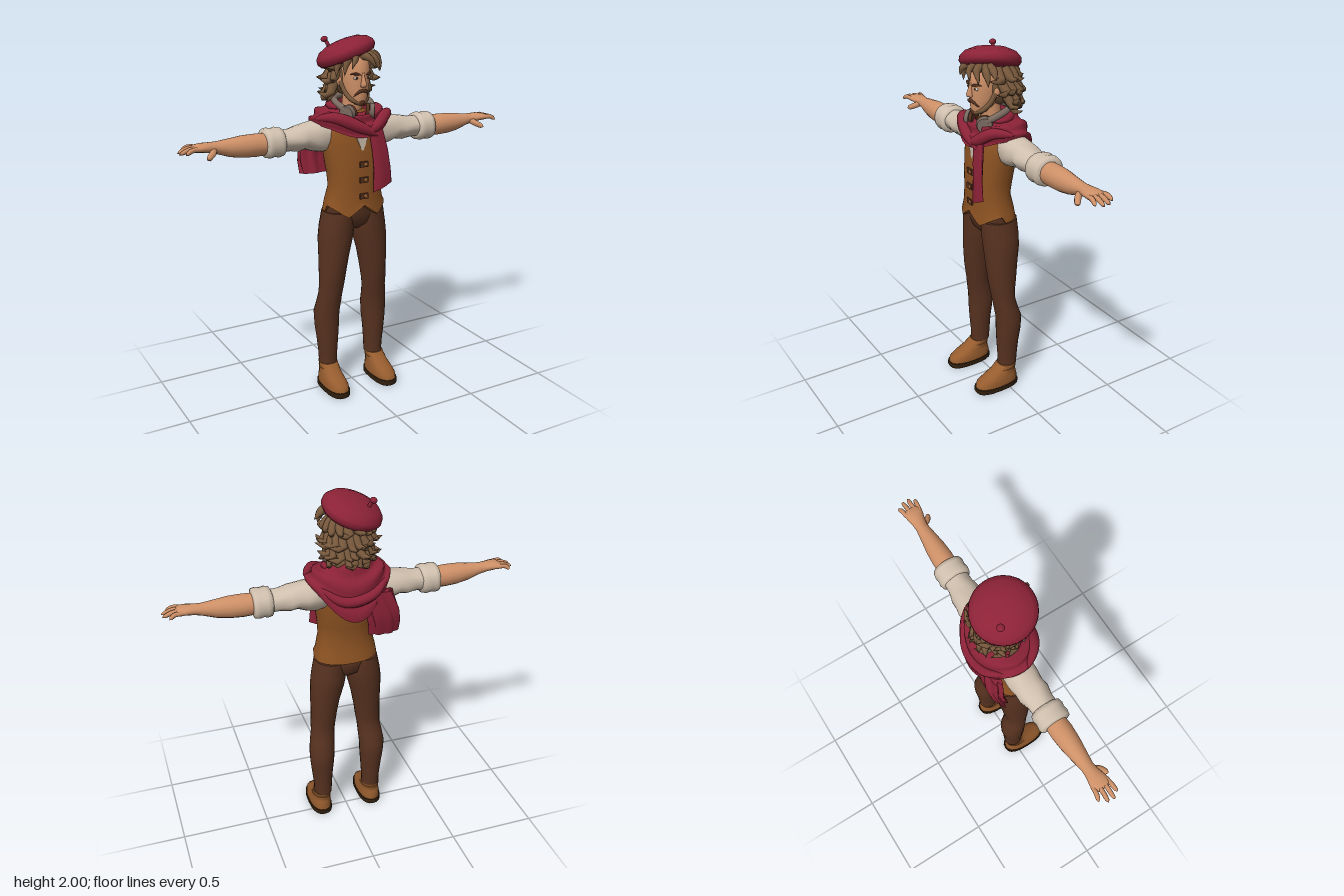
import * as THREE from 'three';

const mat = (name, color, side = THREE.FrontSide) => {
  const m = new THREE.MeshStandardMaterial({ color, side });
  m.name = name;
  return m;
};
const M = {
  skin: mat('skin', 0xcf9168), hair: mat('hair', 0x77583c),
  red: mat('crimson cloth', 0x8c2237, THREE.DoubleSide),
  vest: mat('tan leather', 0x8c5222), trousers: mat('dark brown', 0x573220),
  shirt: mat('cream linen', 0xd0c0ae), shoe: mat('shoe leather', 0x965c2e),
  dark: mat('sole', 0x33210f), metal: mat('headphone grey', 0x7a6a60), white: mat('eye white', 0xeee6dc),
};

// Skin over elliptical sections [h, centreA, centreB, radiusA, radiusB].
// Axis y: A is x and B is z. Axis x: A is y and B is z.
function loft(axis, sections, { n = 20, waves = 0, amp = 0, pow = 1 } = {}) {
  const pos = [], idx = [];
  const bend = (u) => Math.sign(u) * Math.abs(u) ** pow;
  const put = (h, a, b) => pos.push(...(axis === 'y' ? [a, h, b] : [h, a, b]));
  const ring = ([h, a, b, ra, rb], i) => {
    for (let j = 0; j < n; j++) {
      const t = (j / n) * Math.PI * 2, k = 1 + amp * Math.cos(waves * t + i);
      const s = bend(Math.sin(t)) * k, c = bend(Math.cos(t)) * k;
      if (axis === 'y') put(h, a + ra * s, b + rb * c);
      else put(h, a + ra * c, b + rb * s);
    }
  };
  sections.forEach(ring);
  for (let i = 0; i < sections.length - 1; i++)
    for (let j = 0; j < n; j++) {
      const a = i * n + j, b = i * n + (j + 1) % n;
      idx.push(a, b, a + n, b, b + n, a + n);
    }
  for (const i of [0, sections.length - 1]) {
    const start = pos.length / 3;
    ring(sections[i], i);
    put(...sections[i].slice(0, 3));
    for (let j = 0; j < n; j++) {
      const a = start + j, b = start + (j + 1) % n;
      idx.push(...(i ? [a, b, start + n] : [b, a, start + n]));
    }
  }
  const g = new THREE.BufferGeometry();
  g.setAttribute('position', new THREE.Float32BufferAttribute(pos, 3));
  g.setIndex(idx);
  g.computeVertexNormals();
  return g;
}

// Curved strand whose thickness follows a rule of its length
function strand(points, r, taper = (t) => 1 - t * t, seg = 6, sides = 7) {
  const curve = new THREE.CatmullRomCurve3(points.map((p) => new THREE.Vector3(...p)));
  const g = new THREE.TubeGeometry(curve, seg, r, sides), p = g.attributes.position;
  const v = new THREE.Vector3();
  for (let i = 0; i <= seg; i++) {
    const c = curve.getPointAt(i / seg);
    for (let j = 0; j <= sides; j++) {
      const k = i * (sides + 1) + j;
      v.fromBufferAttribute(p, k).sub(c).multiplyScalar(taper(i / seg)).add(c);
      p.setXYZ(k, v.x, v.y, v.z);
    }
  }
  return g;
}
const rounded = (t) => Math.sqrt(Math.max(0, 1 - t ** 6));
const spindle = (t) => Math.sin(Math.PI * t) ** 0.6;
const ball = (x, y, z, rx, ry, rz) =>
  new THREE.SphereGeometry(1, 16, 12).scale(rx, ry, rz).translate(x, y, z);

export function createModel() {
  const root = new THREE.Group();
  root.name = 'character';
  const add = (name, geo, m) => {
    const mesh = new THREE.Mesh(geo, m);
    mesh.name = name;
    root.add(mesh);
    return mesh;
  };
  const pair = (name, geo, m) => {
    add(name + 'Left', geo, m);
    const g = geo.clone().scale(-1, 1, 1);
    g.setIndex(Array.from(g.index.array).reverse());
    add(name + 'Right', g, m);
  };

  // Shoes
  pair('sole', loft('y', [[0, .156, .063, .06, .132], [.008, .156, .063, .066, .138], [.034, .156, .063, .066, .137]], { pow: .75 }), M.dark);
  pair('shoe', loft('y', [[.03, .156, .063, .063, .133], [.06, .156, .06, .063, .13], [.085, .156, .043, .057, .107],
    [.11, .155, .02, .052, .078], [.135, .153, .002, .051, .062], [.15, .152, -.012, .053, .056]], { pow: .85 }), M.shoe);
  pair('shoeStrap', loft('y', [[.1, .155, .022, .057, .084], [.125, .154, .005, .056, .07]]), M.shoe);

  // Trousers
  pair('trouserLeg', loft('y', [[.15, .15, -.015, .052, .056], [.2, .15, -.016, .053, .058], [.3, .152, -.016, .062, .065],
    [.38, .153, -.02, .07, .072], [.46, .153, -.021, .074, .074], [.53, .146, -.004, .071, .068], [.58, .14, .005, .068, .067],
    [.63, .136, .01, .072, .07], [.7, .13, .01, .075, .082], [.8, .121, .009, .084, .092], [.9, .108, .004, .097, .102],
    [.97, .098, .004, .098, .106], [1.06, .09, .008, .088, .105]]), M.trousers);
  add('trouserSeat', loft('y', [[.95, 0, .005, .03, .05], [.985, 0, .005, .13, .09], [1.05, 0, .01, .176, .106],
    [1.15, 0, .018, .15, .1]]), M.trousers);

  // Vest with two hem points in front
  const vest = loft('y', [[1.065, 0, .016, .178, .126], [1.12, 0, .016, .168, .116], [1.2, 0, .025, .149, .108], [1.28, 0, .018, .154, .114],
    [1.36, 0, .01, .166, .116], [1.44, 0, .004, .176, .111], [1.5, 0, 0, .176, .106], [1.56, 0, -.01, .15, .096],
    [1.61, 0, -.012, .07, .06]], { n: 40, pow: .9 });
  const vp = vest.attributes.position;
  for (let i = 0; i < vp.count; i++) {
    if (vp.getY(i) < 1.08 && vp.getZ(i) > .03)
      vp.setY(i, 1.105 - Math.max(0, .065 - Math.abs(Math.abs(vp.getX(i)) - .09) * .72));
  }
  vest.computeVertexNormals();
  add('vest', vest, M.vest);
  const vee = new THREE.Shape([[0, 1.39], [.045, 1.5], [-.045, 1.5]].map((p) => new THREE.Vector2(...p)));
  add('shirtFront', new THREE.ExtrudeGeometry(vee, { depth: .008, bevelEnabled: false }), M.shirt).position.z = .112;
  for (const [y, z] of [[1.155, .133], [1.245, .134], [1.33, .131]]) {
    add('vestTab', new THREE.BoxGeometry(.05, .03, .012).translate(0, y, z), M.trousers);
    add('vestButton', ball(.008, y, z + .007, .011, .011, .007), M.shoe);
  }

  // Sleeves with rolled cuffs
  pair('sleeve', loft('x', [[.12, 1.48, -.02, .08, .075], [.18, 1.478, -.024, .09, .084], [.23, 1.478, -.025, .081, .086],
    [.28, 1.483, -.025, .068, .079], [.32, 1.476, -.022, .068, .082], [.37, 1.474, -.02, .058, .07], [.43, 1.472, -.018, .058, .067]],
    { waves: 5, amp: .025 }), M.shirt);
  pair('cuff', loft('x', [[.41, 1.47, -.017, .06, .068], [.417, 1.47, -.017, .074, .082], [.44, 1.47, -.017, .079, .087],
    [.462, 1.47, -.017, .074, .082], [.485, 1.47, -.017, .079, .086], [.507, 1.47, -.017, .075, .082], [.513, 1.47, -.017, .056, .06]],
    { pow: .9 }), M.shirt);

  // Forearms and hands
  pair('forearm', loft('x', [[.48, 1.467, -.016, .056, .056], [.56, 1.467, -.014, .06, .059], [.63, 1.468, -.013, .058, .054],
    [.7, 1.47, -.012, .048, .044], [.77, 1.478, -.012, .032, .034], [.81, 1.483, -.01, .027, .038], [.85, 1.487, -.008, .023, .048],
    [.885, 1.486, -.008, .018, .051], [.9, 1.483, -.008, .011, .045]], { n: 16 }), M.skin);
  [[-.046, .938, -.06], [-.02, .968, -.022], [.007, .97, .012], [.031, .945, .043]].forEach(([z, tip, tz]) =>
    pair('finger', strand([[.865, 1.487, z], [.91, 1.488, (z + tz) / 2], [tip, 1.468, tz]], .0125, rounded, 8), M.skin));
  pair('thumb', strand([[.785, 1.475, .0], [.805, 1.46, .035], [.845, 1.437, .067]], .017, rounded, 8), M.skin);

  // Neck and head
  add('neck', loft('y', [[1.56, 0, -.01, .058, .056], [1.72, 0, .012, .05, .055]]), M.skin);
  add('head', loft('y', [[1.643, 0, .083, .022, .028], [1.66, 0, .07, .04, .045], [1.69, 0, .05, .057, .07], [1.73, 0, .032, .07, .091],
    [1.78, 0, .022, .077, .102], [1.83, 0, .014, .08, .11], [1.89, 0, 0, .078, .108], [1.94, 0, -.01, .05, .06]], { n: 24 }), M.skin);
  add('nose', loft('y', [[1.738, 0, .118, .01, .01], [1.744, 0, .122, .018, .024], [1.757, 0, .122, .014, .028],
    [1.79, 0, .118, .009, .018], [1.82, 0, .112, .008, .012]], { n: 10 }), M.skin);
  pair('ear', ball(.081, 1.768, .012, .014, .03, .02), M.skin);
  pair('eye', ball(.035, 1.787, .11, .016, .008, .007), M.white);
  pair('pupil', ball(.034, 1.787, .115, .006, .007, .005), M.dark);
  pair('eyebrow', strand([[.012, 1.8, .126], [.036, 1.81, .12], [.063, 1.806, .092]], .007, spindle), M.trousers);
  pair('moustache', strand([[-.003, 1.722, .122], [.02, 1.718, .122], [.043, 1.69, .096]], .009, (t) => 1 - t * t * .8), M.trousers);
  pair('jawBeard', strand([[.08, 1.765, .02], [.067, 1.712, .045], [.045, 1.672, .08], [0, 1.652, .106]], .014, () => 1, 10), M.hair);
  add('goatee', ball(0, 1.66, .103, .022, .022, .016), M.trousers);

  // Hair: a cap with rows of swept locks
  add('hairCap', ball(0, 1.8, -.035, .108, .125, .105), M.hair);
  let seed = 7;
  const rnd = () => (seed = (seed * 16807) % 2147483647) / 2147483647 - .5;
  [[1.86, 11, 1.15, .03, .055], [1.81, 13, 1.3, .045, .07], [1.76, 12, 1.5, .06, .07], [1.71, 10, 1.8, .045, .05]]
    .forEach(([y, count, from, drop, out]) => {
      for (let i = 0; i < count; i++) {
        const a = from + (i / (count - 1)) * (2 * Math.PI - 2 * from) + rnd() * .15, o = out + rnd() * .025, d = drop + rnd() * .025;
        const at = (r, h, turn) => [Math.sin(a + turn) * r, h, Math.cos(a + turn) * r * .97 - .03];
        add('hairLock', strand([at(.075, y + .02, 0), at(.108, y - d * .4, .08), at(.098 + o * .5, y - d, .15),
          at(.1 + o, y - d * .85, .3 * Math.sign(rnd()))], .031), M.hair);
      }
    });
  // Fringe parted over the forehead
  for (const [x, tx, ty, tz] of [[-.05, -.1, 1.8, .105], [-.03, -.075, 1.835, .14], [0, .05, 1.835, .155], [.03, .09, 1.82, .13],
    [.06, .12, 1.81, .09], [.08, .15, 1.85, .06], [-.07, -.125, 1.79, .06]])
    add('fringeLock', strand([[x, 1.905, .06], [(x + tx) / 2, 1.89, tz * .95], [tx * .95, 1.855, tz], [tx, ty, tz]], .027), M.hair);

  // Tilted beret
  const beret = new THREE.Group();
  beret.name = 'beret';
  beret.position.set(-.03, 1.91, -.015);
  beret.rotation.set(-.22, 0, .3);
  const profile = [[.085, -.02], [.1, -.046], [.148, -.034], [.163, -.012], [.16, .012], [.135, .04], [.085, .06], [.04, .066], [0, .068]];
  const disc = new THREE.LatheGeometry(profile.map((p) => new THREE.Vector2(...p)), 32);
  const stalk = strand([[-.052, .05, -.05], [-.055, .078, -.052], [-.06, .1, -.055]], .01, () => 1);
  for (const [name, g] of [['beretCrown', disc], ['beretStalk', stalk], ['beretTip', ball(-.061, .1, -.055, .019, .015, .019)]]) {
    const m = new THREE.Mesh(g, M.red);
    m.name = name;
    beret.add(m);
  }
  root.add(beret);

  // Headphones resting round the neck
  const cup = (r, h, off) => new THREE.CylinderGeometry(r * .88, r, h, 20).translate(0, off, 0).rotateZ(-Math.PI / 2).rotateY(-.55)
    .translate(.067, 1.602, .08);
  pair('earCushion', cup(.044, .02, -.012), M.trousers);
  pair('earCup', cup(.045, .026, .012), M.metal);
  add('headband', strand([[-.08, 1.62, .08], [-.097, 1.645, .02], [-.075, 1.665, -.06], [0, 1.672, -.093], [.075, 1.665, -.06],
    [.097, 1.645, .02], [.08, 1.62, .08]], .019, () => 1, 32, 10), M.metal);

  // Scarf draped over the shoulders, deeper behind
  const nu = 48, nv = 14, shawl = new THREE.PlaneGeometry(1, 1, nu, nv), sp = shawl.attributes.position;
  for (let i = 0; i < sp.count; i++) {
    const u = (i % (nu + 1)) / nu, v = Math.floor(i / (nu + 1)) / nv, t = u * Math.PI * 2 + Math.PI;
    const s = Math.sin(t), c = Math.cos(t), e = Math.sin(v * Math.PI / 2);
    const top = 1.63 - .03 * c, low = 1.55 - (c > 0 ? .075 : .19) * Math.abs(c) ** 3;
    const fold = .008 * Math.sin(v * 17 + 2 * Math.cos(t)) * Math.min(1, v * 4);
    sp.setXYZ(i, s * (.085 + .143 * e + fold), top + (low - top) * (1 - Math.cos(v * Math.PI / 2)) + fold,
      -.005 - .02 * e + c * (.085 + .085 * e + fold));
  }
  shawl.computeVertexNormals();
  add('scarfDrape', shawl, M.red);
  add('scarfFold', strand([[-.23, 1.575, .0], [-.15, 1.585, .085], [-.03, 1.535, .13], [.1, 1.475, .135]], .034, spindle, 16, 10), M.red);
  add('scarfFold', strand([[.23, 1.575, 0], [.16, 1.58, .085], [.07, 1.525, .13], [-.02, 1.49, .125]], .032, spindle, 16, 10), M.red);
  add('scarfFold', strand([[-.2, 1.56, -.1], [-.09, 1.5, -.175], [.06, 1.48, -.175], [.2, 1.56, -.1]], .03, spindle, 16, 10), M.red);
  add('scarfCollar', strand([[-.1, 1.625, .05], [-.12, 1.635, -.03], [0, 1.638, -.105], [.12, 1.63, -.03], [.1, 1.615, .05]], .03, spindle, 20, 10), M.red);

  // Hanging scarf ends
  const tail = loft('y', [[1.19, .107, .15, .052, .012], [1.3, .105, .148, .048, .014], [1.4, .095, .14, .045, .016], [1.52, .075, .122, .042, .018]],
    { waves: 4, amp: .1 });
  const tp = tail.attributes.position;
  for (let i = 0; i < tp.count; i++) if (tp.getY(i) < 1.2) tp.setY(i, 1.195 + (tp.getX(i) - .107) * .4);
  add('scarfFrontEnd', tail, M.red);
  add('scarfBackEnd', loft('y', [[1.25, -.165, -.135, .075, .03], [1.32, -.165, -.15, .08, .033], [1.4, -.15, -.16, .085, .034],
    [1.5, -.11, -.14, .09, .035]], { n: 32, waves: 7, amp: .16 }), M.red);
  return root;
}
